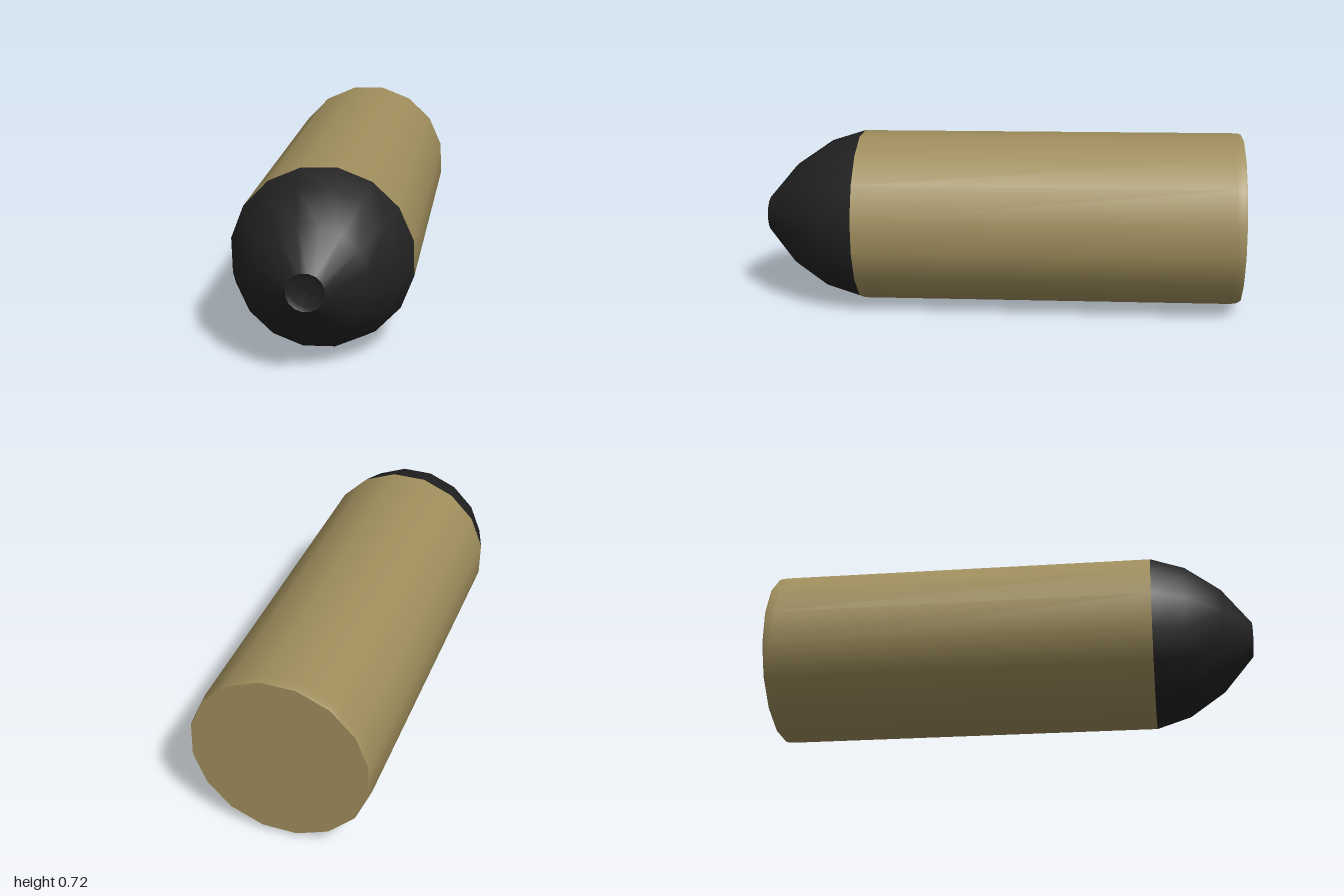
import * as THREE from 'three';

const SIDES = 16;
const ROLL = 0.221; // small roll of the facets about the long axis

export function createModel() {
  const brass = new THREE.MeshStandardMaterial({ color: 0x9f8e5c });
  brass.name = 'brass';
  const black = new THREE.MeshStandardMaterial({ color: 0x222222 });
  black.name = 'black';

  const model = new THREE.Group();
  model.name = 'cartridge';

  // Turned part along z: profile given as [radius, z] from rear to front
  function turned(name, profile, material) {
    const points = profile.map(([r, z]) => new THREE.Vector2(r, z));
    const geometry = new THREE.LatheGeometry(points, SIDES, ROLL);
    geometry.rotateX(Math.PI / 2);
    const mesh = new THREE.Mesh(geometry, material);
    mesh.name = name;
    model.add(mesh);
  }

  // Flat base and long case with a softly rounded rear rim
  turned('base', [[0, -0.997], [0.354, -0.997]], brass);
  turned('case', [[0.354, -0.997], [0.358, -0.985], [0.36, -0.96], [0.36, 0.59]], brass);

  // Curved nose with a shallow dimple at the tip
  turned('nose', [[0.36, 0.59], [0.316, 0.73], [0.217, 0.875], [0.073, 0.998]], black);
  turned('tipDimple', [[0.073, 0.998], [0.055, 0.988], [0, 0.983]], black);

  // The axis dips very slightly towards the nose
  model.rotation.x = 0.0094;
  model.position.y = 0.3626;
  const root = new THREE.Group();
  root.name = 'model';
  root.add(model);
  return root;
}
